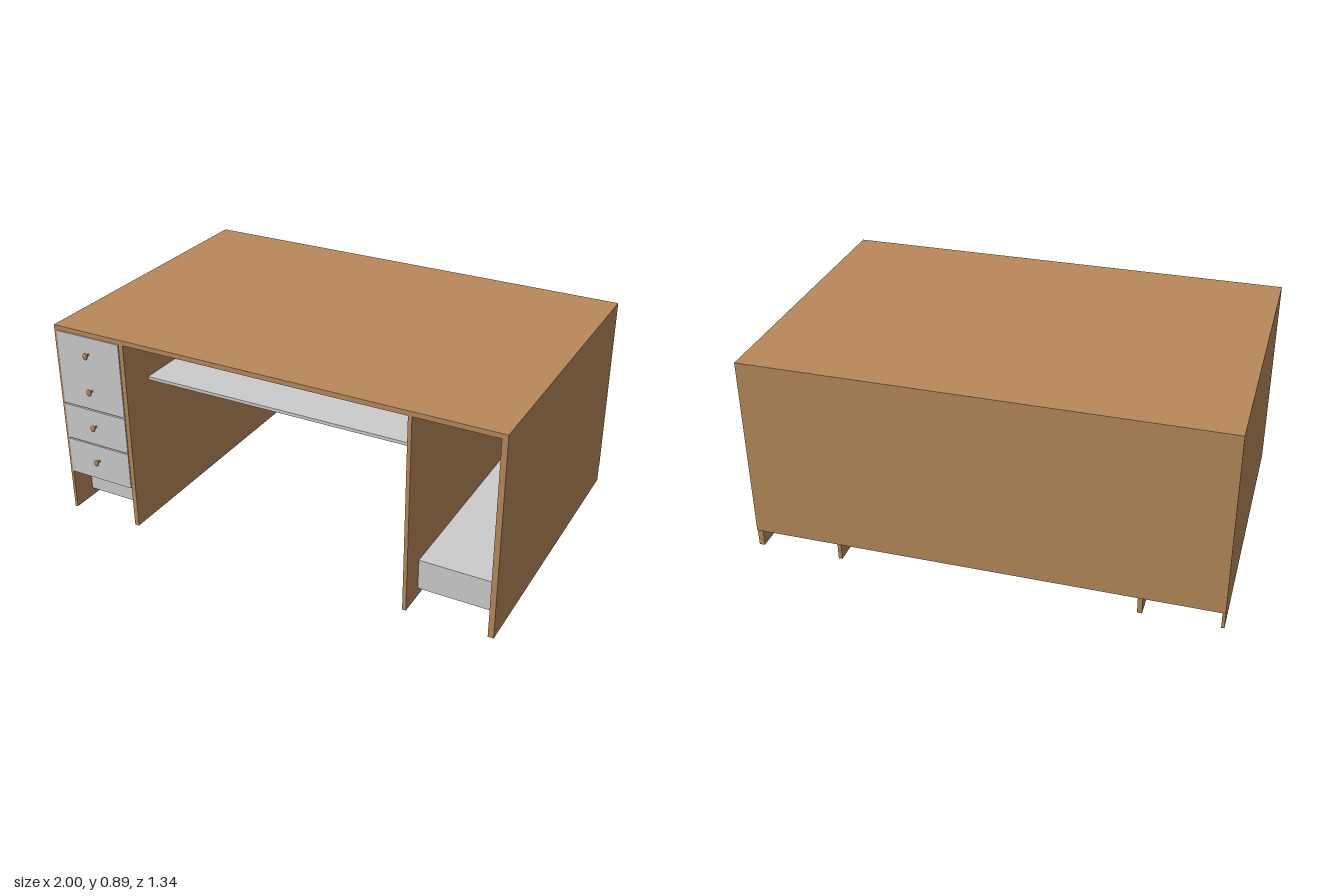
import * as THREE from 'three';

export function createModel() {
  const desk = new THREE.Group();
  desk.name = 'desk';
  const wood = new THREE.MeshStandardMaterial({ color: 0xb8895a });
  wood.name = 'wood';
  const grey = new THREE.MeshStandardMaterial({ color: 0xcccccc });
  grey.name = 'light grey';

  // Box given by its min and max on each axis
  function board(name, material, [x0, x1], [y0, y1], [z0, z1], parent = desk) {
    const mesh = new THREE.Mesh(new THREE.BoxGeometry(x1 - x0, y1 - y0, z1 - z0), material);
    mesh.position.set((x0 + x1) / 2, (y0 + y1) / 2, (z0 + z1) / 2);
    mesh.name = name;
    parent.add(mesh);
    return mesh;
  }

  // Top and back
  board('desktop', wood, [-1, 1], [0.865, 0.886], [-0.671, 0.641]);
  board('backPanel', wood, [-1, 1], [0.077, 0.865], [-0.671, -0.666]);

  // Upright side panels
  const uprights = {
    rightOuterPanel: [-1, -0.987],
    rightInnerPanel: [-0.672, -0.652],
    leftInnerPanel: [0.616, 0.632],
    leftOuterPanel: [0.976, 1],
  };
  for (const [name, x] of Object.entries(uprights)) {
    board(name, wood, x, [0, 0.865], [-0.666, 0.641]);
  }

  // Low shelf with a hanging kick plate in each pedestal
  for (const [side, x] of [['right', [-0.987, -0.672]], ['left', [0.632, 0.976]]]) {
    board(side + 'Shelf', grey, x, [0.163, 0.171], [-0.666, 0.53]);
    board(side + 'KickPlate', grey, x, [0.036, 0.163], [0.52, 0.53]);
  }

  // Keyboard tray
  board('keyboardTray', grey, [-0.652, 0.616], [0.646, 0.66], [0.17, 0.49]);

  // Drawers: recessed body with separate fronts
  const drawers = new THREE.Group();
  drawers.name = 'drawers';
  desk.add(drawers);
  board('drawerBody', grey, [-0.986, -0.673], [0.187, 0.864], [-0.55, 0.62], drawers);
  for (const y of [[0.187, 0.353], [0.359, 0.523], [0.529, 0.864]]) {
    board('drawerFront', grey, [-0.986, -0.673], y, [0.62, 0.645], drawers);
  }

  // Flared oval knobs
  const profile = [[0.006, 0], [0.0045, 0.008], [0.007, 0.013], [0.016, 0.021], [0.0155, 0.024], [0.009, 0.027], [0, 0.028]];
  const knobGeometry = new THREE.LatheGeometry(profile.map(([r, h]) => new THREE.Vector2(r, h)), 20);
  knobGeometry.rotateX(Math.PI / 2);
  knobGeometry.scale(0.75, 1, 1);
  for (const y of [0.28, 0.449, 0.619, 0.787]) {
    const knob = new THREE.Mesh(knobGeometry, wood);
    knob.name = 'drawerKnob';
    knob.position.set(-0.83, y, 0.644);
    drawers.add(knob);
  }

  return desk;
}
